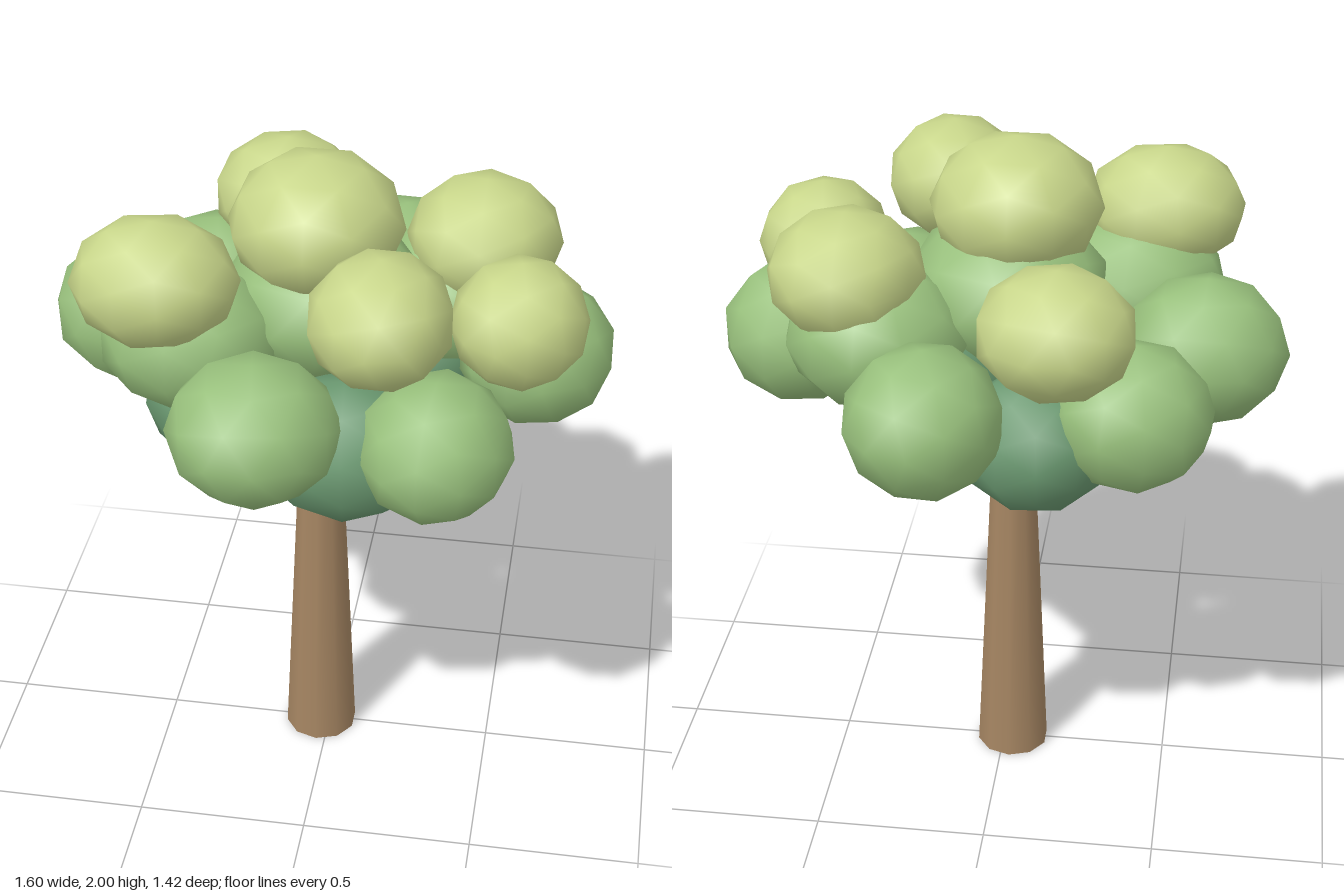
import * as THREE from 'three';

const bark = new THREE.MeshStandardMaterial({ color: 0xa58562 });
const lightLeaf = new THREE.MeshStandardMaterial({ color: 0xc8d68a });
const midLeaf = new THREE.MeshStandardMaterial({ color: 0x98c07c });
const darkLeaf = new THREE.MeshStandardMaterial({ color: 0x6a9870 });

// Leaf clumps: centre x, y, z, then radii x, y, z
const crown = [
  ['upperFoliage', lightLeaf, [
    [-0.03, 1.8, 0.04, 0.245, 0.2, 0.24],
    [-0.19, 1.64, -0.425, 0.22, 0.18, 0.21],
    [0.41, 1.67, -0.19, 0.22, 0.18, 0.228],
    [0.54, 1.61, 0.16, 0.19, 0.18, 0.197],
    [0.195, 1.725, 0.4, 0.198, 0.177, 0.218],
    [-0.43, 1.715, 0.278, 0.232, 0.18, 0.2],
  ]],
  ['middleFoliage', midLeaf, [
    [-0.57, 1.43, -0.05, 0.237, 0.215, 0.215],
    [-0.39, 1.37, -0.35, 0.228, 0.21, 0.216],
    [0.155, 1.39, -0.49, 0.222, 0.212, 0.227],
    [0.58, 1.415, -0.03, 0.223, 0.207, 0.232],
    [0.345, 1.338, 0.385, 0.218, 0.2, 0.236],
    [-0.13, 1.4, 0.475, 0.24, 0.202, 0.235],
    [0.33, 1.49, -0.19, 0.26, 0.21, 0.235],
    [-0.01, 1.56, 0.01, 0.29, 0.23, 0.28],
    [-0.36, 1.51, 0.2, 0.257, 0.205, 0.22],
  ]],
  ['lowerFoliage', darkLeaf, [
    [0.09, 1.27, 0.32, 0.25, 0.205, 0.215],
    [-0.27, 1.3, 0.16, 0.228, 0.2, 0.22],
    [-0.13, 1.27, -0.34, 0.22, 0.2, 0.21],
    [0.2, 1.31, -0.15, 0.23, 0.205, 0.22],
  ]],
];

// Tapered round limb between two points
function limb(name, from, to, r0, r1, sides) {
  const a = new THREE.Vector3(...from);
  const dir = new THREE.Vector3(...to).sub(a);
  const geo = new THREE.CylinderGeometry(r1, r0, dir.length(), sides);
  geo.translate(0, dir.length() / 2, 0);
  const mesh = new THREE.Mesh(geo, bark);
  mesh.name = name;
  mesh.position.copy(a);
  mesh.quaternion.setFromUnitVectors(new THREE.Vector3(0, 1, 0), dir.normalize());
  return mesh;
}

export function createModel() {
  const tree = new THREE.Group();
  tree.name = 'tree';

  // Trunk and branches
  tree.add(
    limb('trunk', [-0.027, 0, 0], [-0.027, 1.13, 0], 0.109, 0.06, 10),
    limb('leftBranch', [0.02, 0.92, 0.01], [0.43, 1.33, 0.11], 0.042, 0.028, 8),
    limb('rightBranch', [-0.05, 0.97, -0.01], [-0.45, 1.36, -0.16], 0.04, 0.026, 8),
    limb('backBranch', [-0.02, 1.02, 0], [0.03, 1.32, -0.14], 0.04, 0.03, 8),
  );

  // Faceted leaf clumps, each turned differently
  let turn = 0;
  for (const [name, material, clumps] of crown) {
    const layer = new THREE.Group();
    layer.name = name;
    for (const [x, y, z, rx, ry, rz] of clumps) {
      const geo = new THREE.IcosahedronGeometry(1, 1);
      geo.rotateY(turn * 1.3);
      turn++;
      const clump = new THREE.Mesh(geo, material);
      clump.name = 'leafClump';
      clump.position.set(x, y, z);
      clump.scale.set(rx, ry, rz);
      layer.add(clump);
    }
    tree.add(layer);
  }
  return tree;
}
